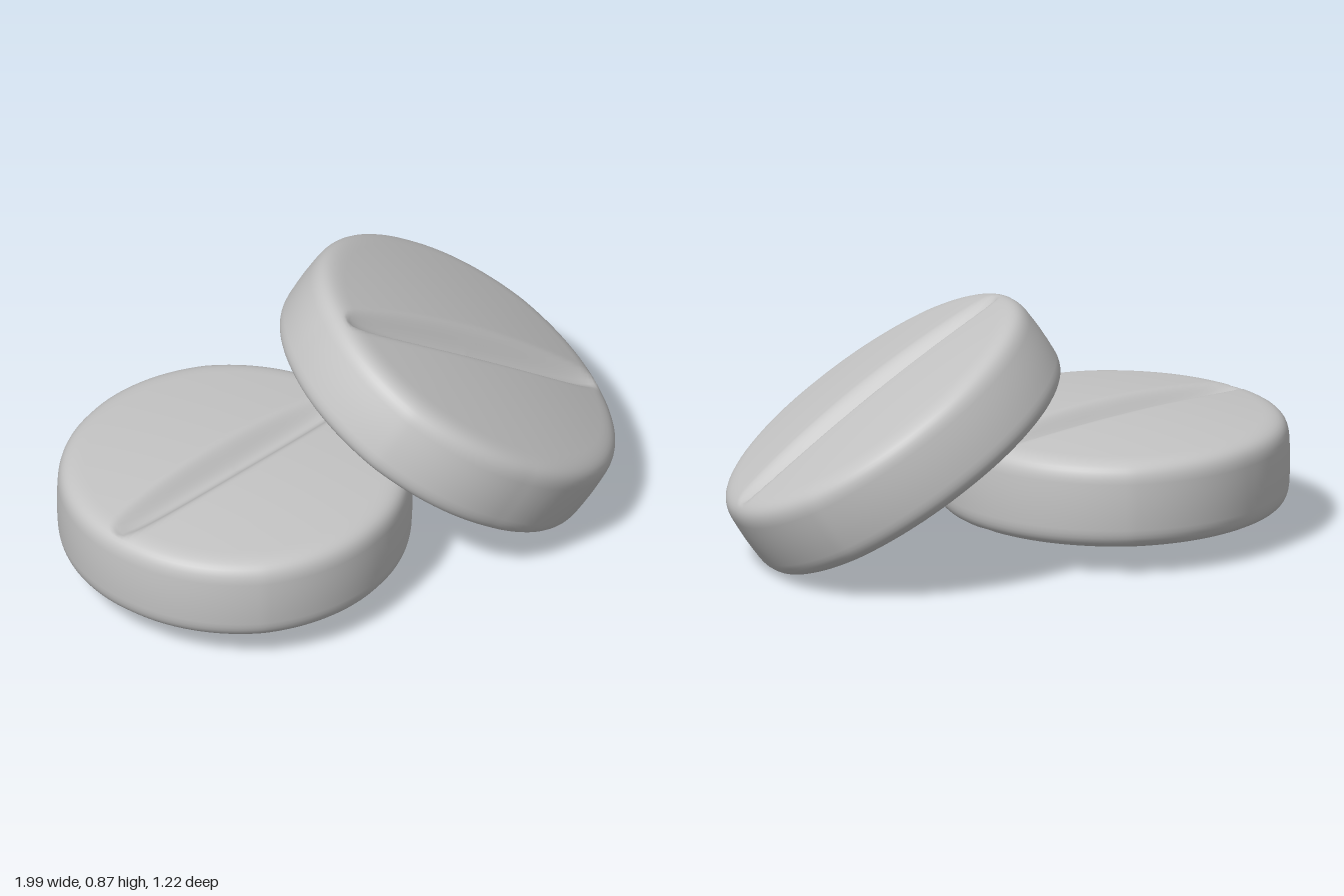
import * as THREE from 'three';
import { mergeVertices } from 'three/addons/utils/BufferGeometryUtils.js';

const GROOVE = { halfLength: 0.56, halfWidth: 0.1, depth: 0.068 };

// Depth of the lens-shaped score line running along local x
function grooveDepth(x, z) {
  const along = 1 - (x / GROOVE.halfLength) ** 2;
  if (along <= 0) return 0;
  const taper = Math.sqrt(along);
  const t = Math.abs(z) / (GROOVE.halfWidth * (0.35 + 0.65 * taper));
  if (t >= 1) return 0;
  return GROOVE.depth * taper * (0.5 + 0.5 * Math.cos(Math.PI * t));
}

// Soft corner that pushes the rim out on two opposite sides
function rimScale(x, z, cornerAngle, cornerSize) {
  let d = (Math.atan2(-z, x) - cornerAngle) % Math.PI;
  if (d > Math.PI / 2) d -= Math.PI;
  if (d < -Math.PI / 2) d += Math.PI;
  return 1 + cornerSize * Math.max(0, 1 - Math.abs(d) / 0.8);
}

function tabletGeometry(radius, cornerAngle, cornerSize) {
  // Upper half of the profile: domed face, rounded shoulder, upright side
  const face = [];
  for (let i = 0; i <= 40; i++) {
    const r = i / 40;
    face.push(new THREE.Vector2((radius - 0.08) * r, 0.184 - 0.029 * r * r));
  }
  const shoulder = new THREE.CubicBezierCurve(
    new THREE.Vector2(radius - 0.08, 0.155), new THREE.Vector2(radius - 0.03, 0.148),
    new THREE.Vector2(radius - 0.007, 0.132), new THREE.Vector2(radius - 0.003, 0.08)
  ).getPoints(9).slice(1);
  const upper = [...face, ...shoulder, new THREE.Vector2(radius - 0.001, 0.04)];
  const lower = upper.map(p => new THREE.Vector2(p.x, -p.y));
  const profile = [...lower, new THREE.Vector2(radius, 0), ...upper.reverse()];

  let geo = new THREE.LatheGeometry(profile, 192);
  geo.deleteAttribute('uv');
  geo.deleteAttribute('normal');
  geo = mergeVertices(geo, 1e-5);

  // Press the score line into both faces and shape the rim
  const pos = geo.attributes.position;
  for (let i = 0; i < pos.count; i++) {
    const x = pos.getX(i), y = pos.getY(i), z = pos.getZ(i);
    const s = rimScale(x, z, cornerAngle, cornerSize * (Math.hypot(x, z) / radius) ** 2);
    pos.setXYZ(i, x * s, y - Math.sign(y) * grooveDepth(x, z), z * s);
  }
  geo.computeVertexNormals();
  return geo;
}

export function createModel() {
  const model = new THREE.Group();
  model.name = 'tablets';
  const grey = new THREE.MeshStandardMaterial({ color: 0xc4c4c4 });
  grey.name = 'tabletGrey';

  // Tablet lying flat
  const flat = new THREE.Mesh(tabletGeometry(0.597, 0.95, 0.03), grey);
  flat.name = 'flatTablet';
  flat.position.set(-0.403, 0.248, 0);
  flat.rotation.y = 0.27;

  // Tablet leaning on the first one
  const leaning = new THREE.Mesh(tabletGeometry(0.608, 0.73, 0.042), grey);
  leaning.name = 'leaningTablet';
  leaning.position.set(0.418, 0.437, 0);
  leaning.rotation.set(0.2, 0, -0.56, 'ZXY');

  model.add(flat, leaning);
  return model;
}
